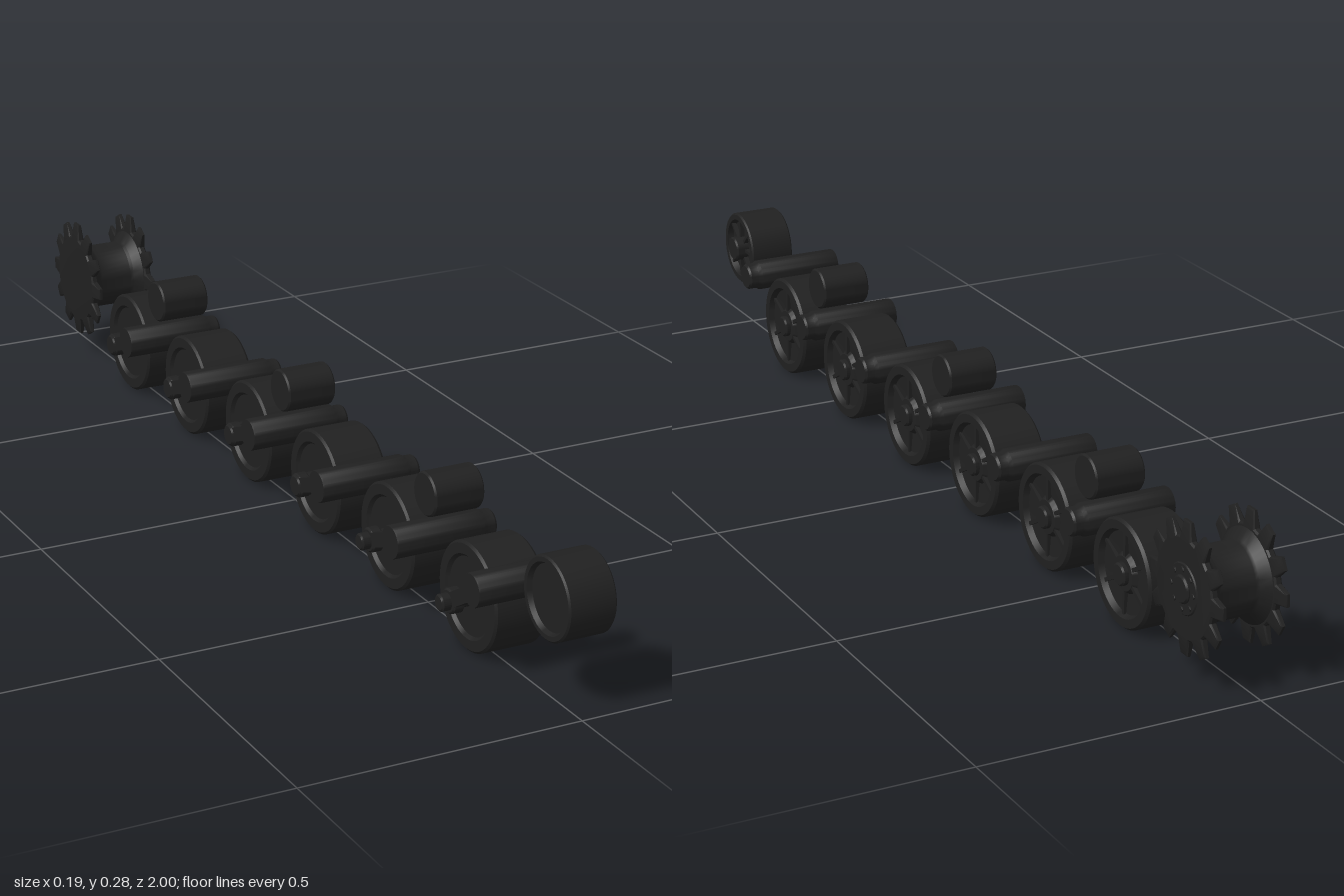
import * as THREE from 'three';
import { toCreasedNormals } from 'three/addons/utils/BufferGeometryUtils.js';

const material = new THREE.MeshStandardMaterial({ color: 0x202020 });

function mesh(name, geometry) {
  const m = new THREE.Mesh(toCreasedNormals(geometry, 0.6), material);
  m.name = name;
  return m;
}

// Turned part on the x axis; profile is [radius, x] from inner to outer side
function turned(name, profile, segments = 40) {
  const g = new THREE.LatheGeometry(profile.map(([r, x]) => new THREE.Vector2(r, x)), segments);
  return mesh(name, g.rotateZ(-Math.PI / 2));
}

function rod(name, r, x0, x1, bevel = 0.003, segments = 28) {
  return turned(name, [[0, x0], [r - bevel, x0], [r, x0 + bevel], [r, x1 - bevel], [r - bevel, x1], [0, x1]], segments);
}

// Radial ribs on a wheel face
function addRibs(group, count, r0, r1, x, thick, width) {
  for (let i = 0; i < count; i++) {
    const pivot = new THREE.Group();
    const rib = mesh('rib', new THREE.BoxGeometry(thick, r1 - r0, width));
    rib.position.set(x, (r0 + r1) / 2, 0);
    pivot.rotation.x = (i / count) * Math.PI * 2;
    pivot.add(rib);
    group.add(pivot);
  }
}

function roadWheel() {
  const g = new THREE.Group();
  g.name = 'roadWheel';
  g.add(turned('wheelDisc', [
    [0, -0.03], [0.068, -0.03], [0.073, -0.036], [0.091, -0.036], [0.095, -0.032],
    [0.095, 0.058], [0.091, 0.063], [0.076, 0.063], [0.071, 0.053], [0.036, 0.05],
    [0.03, 0.058], [0, 0.058],
  ], 48));
  g.add(rod('hubCap', 0.02, 0.05, 0.068));
  addRibs(g, 6, 0.026, 0.074, 0.053, 0.008, 0.007);
  return g;
}

function idlerWheel() {
  const g = new THREE.Group();
  g.name = 'idlerWheel';
  g.add(turned('idlerDrum', [
    [0, -0.022], [0.056, -0.022], [0.06, -0.03], [0.068, -0.03], [0.071, -0.027],
    [0.071, 0.054], [0.068, 0.057], [0.058, 0.057], [0.054, 0.045], [0, 0.045],
  ], 40));
  g.add(rod('idlerHub', 0.024, 0.04, 0.07));
  addRibs(g, 8, 0.02, 0.058, 0.048, 0.012, 0.006);
  return g;
}

// Torsion tube with its trailing arm and the wheel axle
function suspension(dy, dz, stubEnd, stubR) {
  const g = new THREE.Group();
  g.name = 'suspension';
  g.add(turned('torsionTube', [
    [0, -0.097], [0.028, -0.097], [0.029, -0.095], [0.029, 0.068],
    [0.025, 0.075], [0.025, 0.09], [0.022, 0.094], [0, 0.094],
  ], 28));
  const len = Math.hypot(dy, dz);
  const arm = mesh('swingArm', new THREE.BoxGeometry(0.02, 0.026, len));
  arm.position.set(-0.062, dy / 2, dz / 2);
  arm.rotation.x = Math.atan2(dy, -dz);
  const boss = rod('armBoss', 0.022, -0.072, -0.05);
  const axle = rod('axle', stubR, stubEnd, -0.028);
  for (const p of [boss, axle]) p.position.set(0, dy, dz);
  g.add(arm, boss, axle);
  return g;
}

function sprocketRing() {
  // Twelve blunt teeth round a disc
  const shape = new THREE.Shape();
  const teeth = 12, step = (Math.PI * 2) / teeth;
  const corners = [[0.084, -0.33], [0.112, -0.15], [0.112, 0.15], [0.084, 0.33]];
  for (let i = 0; i < teeth; i++) {
    corners.forEach(([r, f], k) => {
      const a = (i + f) * step;
      shape[i + k ? 'lineTo' : 'moveTo'](r * Math.sin(a), r * Math.cos(a));
    });
  }
  shape.closePath();
  const g = new THREE.ExtrudeGeometry(shape, {
    depth: 0.008, bevelThickness: 0.003, bevelSize: 0.003, bevelSegments: 1,
  });
  g.translate(0, 0, -0.004);
  // Thin the teeth toward their tips
  const p = g.attributes.position;
  for (let i = 0; i < p.count; i++) {
    if (Math.hypot(p.getX(i), p.getY(i)) > 0.1) p.setZ(i, p.getZ(i) * 0.6);
  }
  return mesh('toothedRing', g.rotateY(Math.PI / 2));
}

function driveSprocket() {
  const g = new THREE.Group();
  g.name = 'driveSprocket';
  for (const x of [-0.045, 0.07]) {
    const ring = sprocketRing();
    ring.position.x = x;
    g.add(ring);
  }
  g.add(turned('sprocketDrum', [
    [0, -0.045], [0.084, -0.045], [0.08, -0.037], [0.064, -0.024], [0.062, -0.018],
    [0.062, 0.043], [0.064, 0.049], [0.08, 0.062], [0.084, 0.07], [0, 0.07],
  ]));
  g.add(rod('sprocketCover', 0.045, 0.068, 0.079));
  g.add(rod('sprocketHub', 0.024, 0.07, 0.084));
  // Cover bolts
  for (let i = 0; i < 8; i++) {
    const a = (i / 8) * Math.PI * 2;
    const bolt = rod('bolt', 0.005, 0.07, 0.081, 0.001, 6);
    bolt.position.set(0, 0.034 * Math.cos(a), 0.034 * Math.sin(a));
    g.add(bolt);
  }
  return g;
}

export function createModel() {
  const model = new THREE.Group();
  model.name = 'runningGear';
  const place = (part, y, z) => {
    part.position.set(0, y, z);
    model.add(part);
  };

  place(idlerWheel(), 0.188, 0.93);
  place(driveSprocket(), 0.162, -0.885);

  // Six road wheels, each trailing from its own tube
  const wheelZ = [0.693, 0.415, 0.145, -0.126, -0.394, -0.661];
  const pivotZ = [0.811, 0.541, 0.273, 0.003, -0.265, -0.535];
  wheelZ.forEach((z, i) => {
    const pivotY = i === 0 ? 0.168 : 0.146;
    place(roadWheel(), 0.096, z);
    place(suspension(0.096 - pivotY, z - pivotZ[i], i < 2 ? -0.089 : -0.075, i < 2 ? 0.015 : 0.02), pivotY, pivotZ[i]);
  });

  // Return rollers above every second tube
  for (const z of [0.541, 0.003, -0.533]) {
    place(rod('returnRoller', 0.039, -0.033, 0.06), 0.22, z);
  }
  return model;
}
